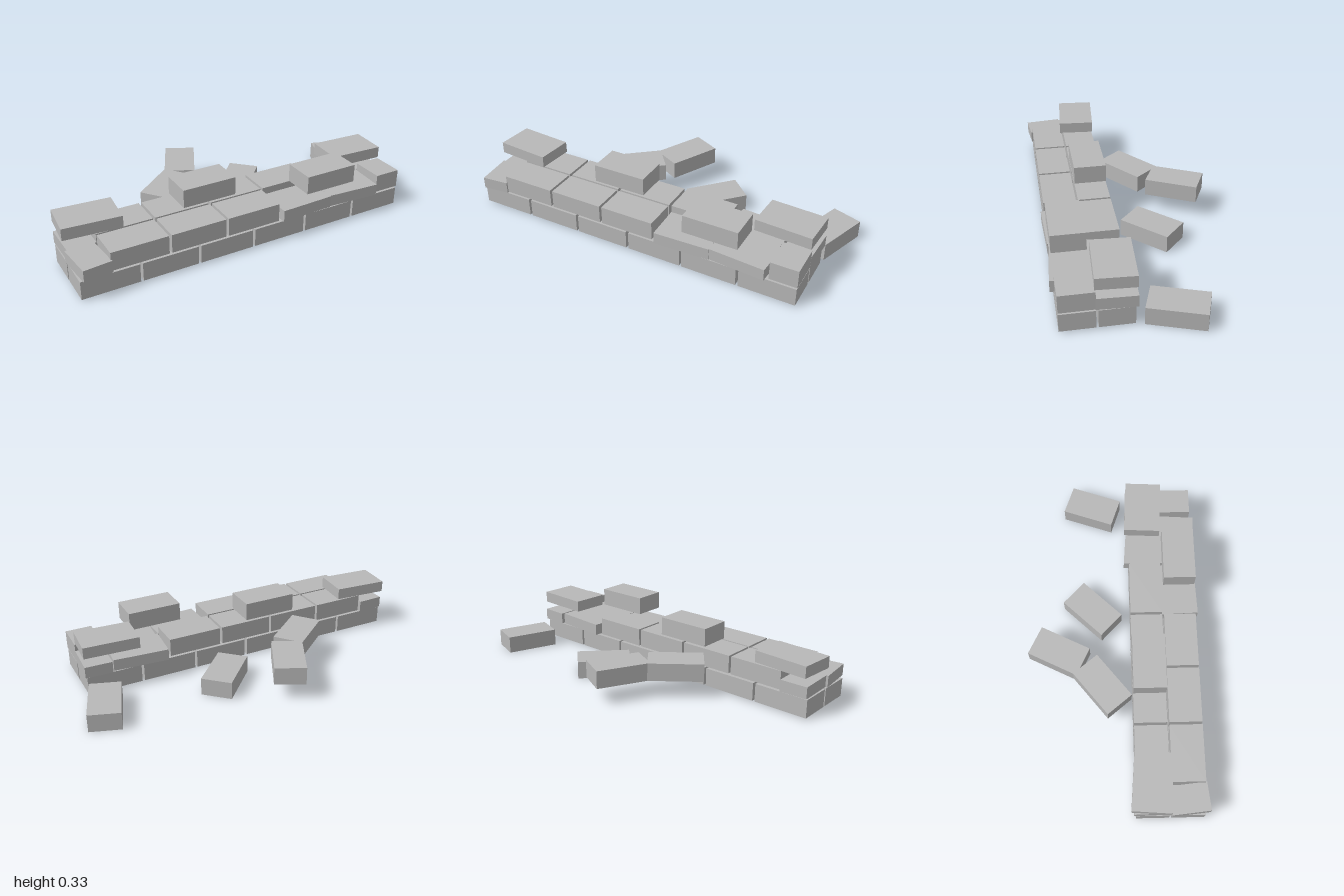
import * as THREE from 'three';

export function createModel() {
  const wall = new THREE.Group();
  wall.name = 'ruinedBrickWall';
  const stone = new THREE.MeshStandardMaterial({ color: 0xb8b8b8 });
  stone.name = 'grey stone';

  const L = 0.302, H = 0.1, D = 0.177; // full brick
  const PITCH = 0.316;
  const FRONT = 0.366, BACK = 0.178;

  function block(name, x, y, z, w, h, d, angle = 0) {
    const mesh = new THREE.Mesh(new THREE.BoxGeometry(w, h, d), stone);
    mesh.name = name;
    mesh.position.set(x, y + h / 2, z);
    mesh.rotation.y = angle;
    wall.add(mesh);
  }
  const brick = (name, x, y, z, a) => block(name, x, y, z, L, H, D, a);
  const slab = (name, x, y, z, w, a) => block(name, x, y, z, w, 0.064, 0.203, a);

  // Bottom course: two rows of six bricks
  for (const z of [FRONT, BACK]) {
    for (let i = 0; i < 6; i++) brick('bottomBrick', -0.838 + i * PITCH, 0.008, z);
  }

  // Second course: offset by half a brick
  const Y2 = 0.119;
  for (let i = 0; i < 4; i++) {
    const x = -0.681 + i * PITCH;
    if (i < 3) brick('middleFrontBrick', x, Y2, FRONT);
    brick('middleBackBrick', x, Y2, BACK);
  }
  block('halfBrick', 0.822, Y2, FRONT, 0.147, H, D);

  // Thin, slightly shifted slabs filling the second course
  const YS = 0.116;
  slab('halfSlabFrontLeft', -0.912, YS, 0.37, 0.15, 0.1);
  slab('halfSlabBackLeft', -0.912, YS, BACK, 0.15, 0.02);
  slab('halfSlabBackRight', 0.825, YS, 0.176, 0.15, -0.04);
  slab('slabFrontInner', 0.273, YS, 0.365, 0.306, 0.035);
  slab('slabFrontOuter', 0.585, YS, 0.365, 0.306, -0.07);
  slab('slabBack', 0.585, YS, 0.174, 0.306, -0.08);

  // Remains of the top course
  brick('topBrickBack', -0.205, 0.23, BACK);
  brick('topBrickFront', 0.428, 0.23, FRONT);
  slab('topSlabLeft', -0.839, 0.229, 0.174, 0.306, -0.08);
  slab('topSlabRight', 0.745, 0.229, 0.174, 0.306, -0.055);

  // Loose bricks behind the wall
  const loose = [
    [0.868, 0, -0.12, 1.235],
    [0.194, 0, -0.126, 0.81],
    [-0.291, 0.099, -0.076, 0.675],
    [-0.095, 0.099, -0.313, 1.11],
  ];
  for (const [x, y, z, a] of loose) block('looseBrick', x, y, z, 0.298, 0.098, 0.17, a);

  return wall;
}
